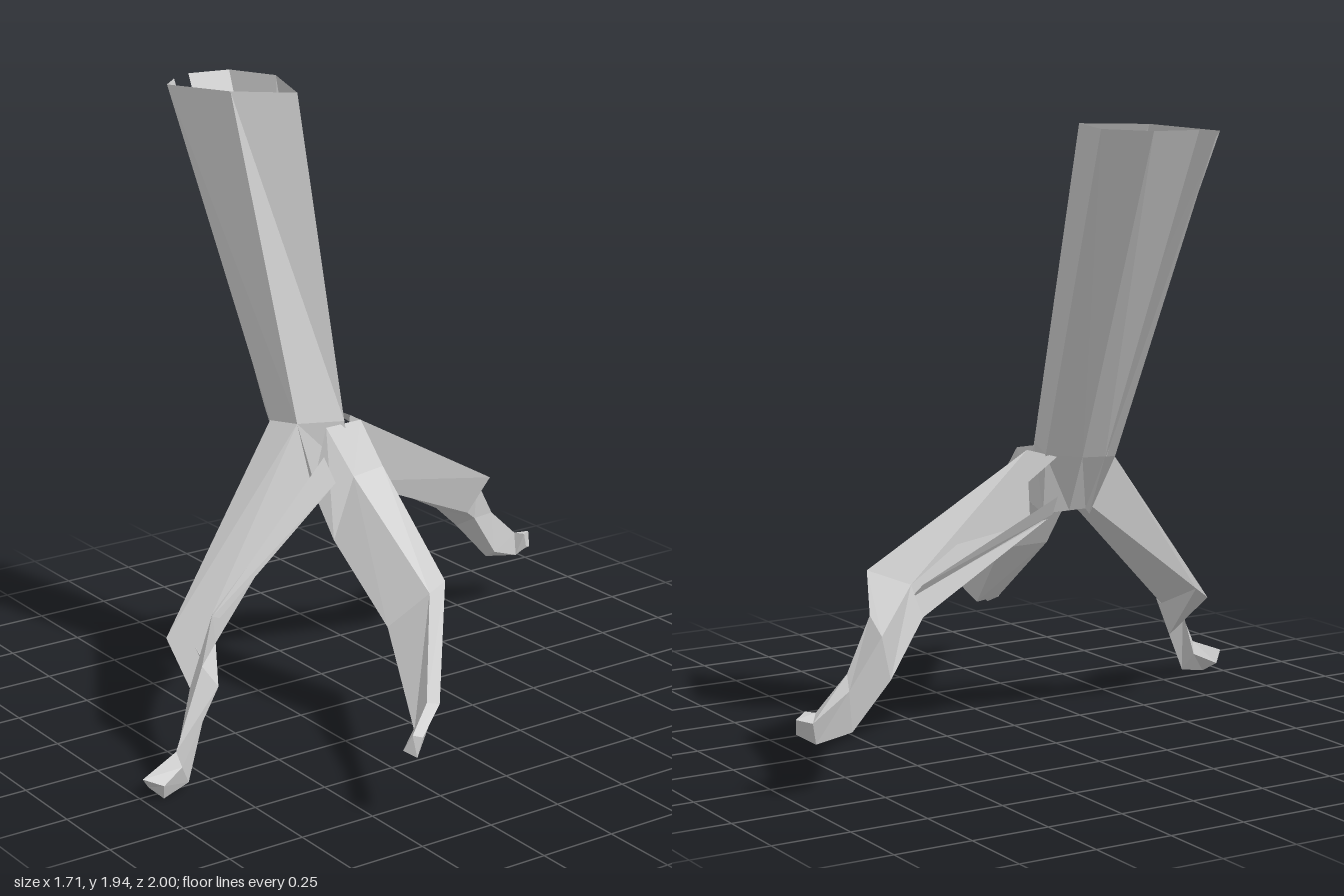
import * as THREE from 'three';

const material = new THREE.MeshStandardMaterial({ color: 0xcccccc, flatShading: true, side: THREE.DoubleSide });

// Skin a series of rings (each a list of [x, y, z] corners); wrap joins last corner to first, cap fills the last ring
function loft(name, rings, { wrap = true, cap = false } = {}) {
  const n = rings[0].length;
  const index = [];
  for (let r = 0; r < rings.length - 1; r++) {
    for (let i = 0; i < (wrap ? n : n - 1); i++) {
      const a = r * n + i, b = r * n + (i + 1) % n;
      index.push(a, b, a + n, b, b + n, a + n);
    }
  }
  if (cap) {
    const s = (rings.length - 1) * n;
    for (let i = 1; i < n - 1; i++) index.push(s, s + i, s + i + 1);
  }
  const geo = new THREE.BufferGeometry();
  geo.setAttribute('position', new THREE.Float32BufferAttribute(rings.flat(2), 3));
  geo.setIndex(index);
  const flat = geo.toNonIndexed();
  flat.computeVertexNormals();
  const mesh = new THREE.Mesh(flat, material);
  mesh.name = name;
  return mesh;
}

export function createModel() {
  const group = new THREE.Group();
  group.name = 'rootedTrunk';

  // Leaning hollow trunk, open at the top and split by a narrow crack down one side
  const top = [[-0.82, 1.94, 0.125], [-0.80, 1.94, -0.02], [-0.63, 1.94, -0.09],
    [-0.34, 1.94, 0.02], [-0.48, 1.94, 0.18], [-0.74, 1.93, 0.255], [-0.86, 1.92, 0.155]];
  const collar = [[-0.37, 0.92, 0.10], [-0.35, 0.92, 0.03], [-0.25, 0.92, -0.04],
    [-0.07, 0.93, 0.03], [-0.13, 0.93, 0.17], [-0.24, 0.92, 0.20], [-0.38, 0.92, 0.13]];
  const base = [[-0.26, 0.74, 0.10], [-0.26, 0.74, 0.04], [-0.22, 0.73, -0.03],
    [-0.05, 0.75, 0.01], [-0.08, 0.74, 0.14], [-0.20, 0.72, 0.16], [-0.25, 0.72, 0.12]];
  group.add(loft('trunk', [top, collar], { wrap: false }));
  group.add(loft('rootCrown', [collar, base], { cap: true }));

  // Front root, bending at the knee and ending in a claw-like tip
  group.add(loft('frontRoot', [
    [[-0.24, 0.92, 0.20], [-0.13, 0.93, 0.17], [-0.10, 0.76, 0.12], [-0.23, 0.74, 0.14]],
    [[-0.06, 0.35, 0.71], [0.02, 0.43, 0.59], [0.02, 0.33, 0.58], [-0.08, 0.39, 0.65]],
    [[0.14, 0.26, 0.75], [0.18, 0.34, 0.73], [0.24, 0.29, 0.71], [0.16, 0.18, 0.71]],
    [[0.23, 0.08, 0.86], [0.25, 0.12, 0.87], [0.30, 0.09, 0.88], [0.27, 0.02, 0.84]],
    [[0.25, 0.03, 0.97], [0.27, 0.07, 1.00], [0.31, 0.05, 0.95], [0.29, 0.00, 0.94]],
  ], { cap: true }));

  // Loose bark strips beside the front and back roots
  group.add(loft('frontBarkStrip', [
    [[0.02, 0.86, 0.17], [0.055, 0.78, 0.15]],
    [[0.02, 0.42, 0.59], [0.045, 0.42, 0.58]],
  ], { wrap: false }));
  group.add(loft('backBarkStrip', [
    [[-0.32, 0.80, -0.04], [-0.29, 0.74, -0.04]],
    [[-0.29, 0.57, -0.50], [-0.27, 0.53, -0.53]],
  ], { wrap: false }));

  // Left root, reaching sideways and swinging forward
  group.add(loft('leftRoot', [
    [[-0.07, 0.92, 0.10], [-0.08, 0.92, -0.04], [-0.09, 0.73, -0.05], [-0.06, 0.73, 0.16]],
    [[0.01, 0.77, 0.05], [0.00, 0.78, -0.07], [0.02, 0.58, -0.04], [0.03, 0.58, 0.14]],
    [[0.35, 0.47, 0.00], [0.31, 0.48, -0.09], [0.20, 0.37, -0.02], [0.28, 0.36, 0.11]],
    [[0.80, 0.34, 0.34], [0.81, 0.33, 0.30], [0.79, 0.27, 0.32], [0.78, 0.25, 0.37]],
    [[0.84, 0.27, 0.42], [0.85, 0.26, 0.39], [0.85, 0.20, 0.41], [0.82, 0.22, 0.44]],
  ], { cap: true }));

  // Back root: upper length open on its outer side, then a sideways step and a curled tip
  const backKnee = [[-0.27, 0.57, -0.53], [-0.14, 0.60, -0.61], [-0.17, 0.48, -0.54], [-0.29, 0.47, -0.50]];
  group.add(loft('backRootUpper', [
    [[-0.30, 0.92, -0.03], [-0.14, 0.92, -0.04], [-0.16, 0.69, -0.04], [-0.26, 0.72, -0.04]],
    backKnee,
  ], { wrap: false }));
  group.add(loft('backRootLower', [
    backKnee,
    [[-0.45, 0.47, -0.73], [-0.34, 0.51, -0.71], [-0.34, 0.38, -0.70], [-0.43, 0.33, -0.69]],
    [[-0.45, 0.32, -0.84], [-0.40, 0.36, -0.82], [-0.38, 0.22, -0.82], [-0.43, 0.19, -0.82]],
    [[-0.45, 0.24, -0.96], [-0.41, 0.26, -0.93], [-0.40, 0.18, -0.93], [-0.43, 0.17, -0.94]],
    [[-0.42, 0.25, -1.00], [-0.38, 0.26, -0.95], [-0.38, 0.21, -0.96], [-0.40, 0.20, -0.99]],
  ], { cap: true }));

  return group;
}
